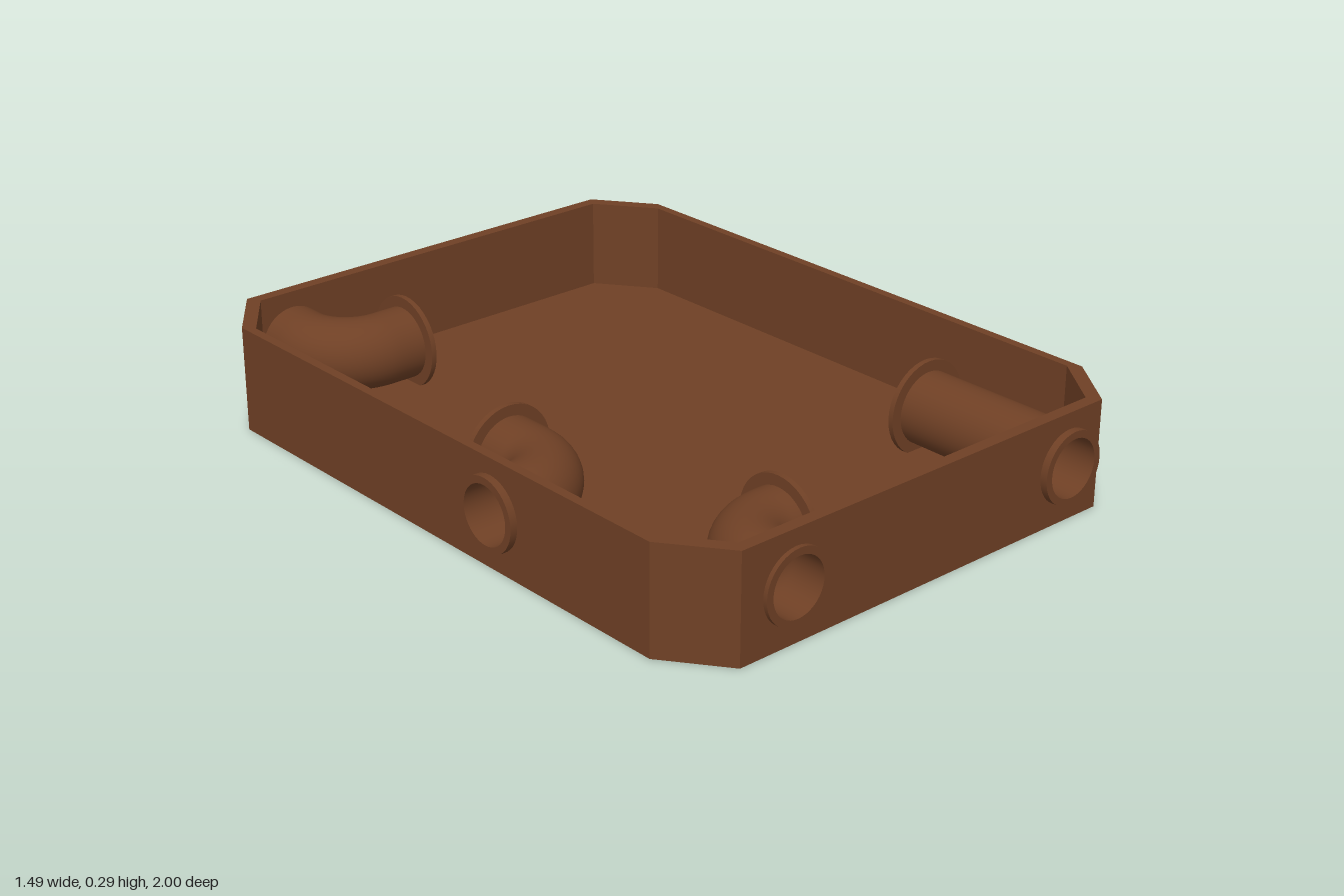
import * as THREE from 'three';
import { toCreasedNormals } from 'three/addons/utils/BufferGeometryUtils.js';

const brown = new THREE.MeshStandardMaterial({ color: 0x6f4025, side: THREE.DoubleSide });
brown.name = 'brown';

const HEIGHT = 0.295, FLOOR = 0.04, INNER = 0.965, PIPE_Y = 0.15;
const R_OUT = 0.1, R_IN = 0.08, R_FLANGE = 0.13, BEND = 0.15;
const CX = 0.0075; // tray centre in x
const V = (x, z) => new THREE.Vector3(x, PIPE_Y, z);

function part(name, geometry) {
  const mesh = new THREE.Mesh(geometry, brown);
  mesh.name = name;
  return mesh;
}

// Chamfered rectangle in (x, z), shrunk about the tray centre
function outline(s) {
  return [[-0.61, 0.98], [0.61, 0.98], [0.7325, 0.815], [0.7325, -0.815],
    [0.61, -0.98], [-0.61, -0.98], [-0.7325, -0.815], [-0.7325, 0.815]]
    .map(([x, z]) => new THREE.Vector2(x * s + CX, z * s));
}

// One mitred wall panel from a to b, pierced where pipes pass through
function wall(a, b, a2, b2, holes) {
  const length = a.distanceTo(b);
  const dir = b.clone().sub(a).normalize();
  const inward = new THREE.Vector2(dir.y, -dir.x);
  const thick = a2.clone().sub(a).dot(inward);
  const shape = new THREE.Shape([[0, 0], [length, 0], [length, HEIGHT], [0, HEIGHT]]
    .map(p => new THREE.Vector2(...p)));
  for (const h of holes) {
    shape.holes.push(new THREE.Path().absarc(h.clone().sub(a).dot(dir), PIPE_Y, R_OUT - 0.005, 0, Math.PI * 2, true));
  }
  const g = new THREE.ExtrudeGeometry(shape, { depth: thick, bevelEnabled: false, curveSegments: 16 });
  const p = g.attributes.position;
  for (let i = 0; i < p.count; i++) {
    const s = p.getX(i), inner = p.getZ(i) > thick / 2;
    let q = a.clone().addScaledVector(dir, s);
    if (inner) {
      if (s < 1e-4) q = a2;
      else if (s > length - 1e-4) q = b2;
      else q.addScaledVector(inward, thick);
    }
    p.setXYZ(i, q.x, p.getY(i), q.y);
  }
  g.computeVertexNormals();
  return part('wall', g);
}

// Flat annulus with its axis along +z
function annulus(outer, inner, depth) {
  const s = new THREE.Shape().absarc(0, 0, outer, 0, Math.PI * 2);
  s.holes.push(new THREE.Path().absarc(0, 0, inner, 0, Math.PI * 2, true));
  return toCreasedNormals(new THREE.ExtrudeGeometry(s, { depth, bevelEnabled: false, curveSegments: 20 }), 0.6);
}

// Hollow pipe from the outside end to the flanged end, with an optional elbow
function pipe(name, start, end, corner) {
  const group = new THREE.Group();
  group.name = name;
  const path = new THREE.CurvePath();
  let dirIn, dirOut;
  if (corner) {
    dirIn = corner.clone().sub(start).normalize();
    dirOut = end.clone().sub(corner).normalize();
    const p = corner.clone().addScaledVector(dirIn, -BEND);
    const q = corner.clone().addScaledVector(dirOut, BEND);
    path.add(new THREE.LineCurve3(start, p));
    path.add(new THREE.CubicBezierCurve3(p, p.clone().addScaledVector(dirIn, BEND * 0.5523),
      q.clone().addScaledVector(dirOut, -BEND * 0.5523), q));
    path.add(new THREE.LineCurve3(q, end));
  } else {
    dirIn = dirOut = end.clone().sub(start).normalize();
    path.add(new THREE.LineCurve3(start, end));
  }
  const steps = corner ? 24 : 1;
  group.add(part('pipeOutside', new THREE.TubeGeometry(path, steps, R_OUT, 40)));
  // The bore faces inward, so its triangles are reversed
  const bore = new THREE.TubeGeometry(path, steps, R_IN, 40);
  bore.index.array.reverse();
  const n = bore.attributes.normal;
  for (let i = 0; i < n.count; i++) n.setXYZ(i, -n.getX(i), -n.getY(i), -n.getZ(i));
  group.add(part('pipeBore', bore));

  const zAxis = new THREE.Vector3(0, 0, 1);
  const rim = part('rim', new THREE.RingGeometry(R_IN, R_OUT, 40));
  rim.quaternion.setFromUnitVectors(zAxis, dirIn.clone().negate());
  rim.position.copy(start);
  const flange = part('flange', annulus(R_FLANGE, R_IN, 0.015));
  flange.quaternion.setFromUnitVectors(zAxis, dirOut);
  flange.position.copy(end).addScaledVector(dirOut, -0.015);
  group.add(rim, flange);
  return group;
}

export function createModel() {
  const model = new THREE.Group();
  model.name = 'pipeTray';

  // Floor slab
  const floor = new THREE.ExtrudeGeometry(
    new THREE.Shape(outline(INNER).map(p => new THREE.Vector2(p.x, -p.y))),
    { depth: FLOOR, bevelEnabled: false });
  floor.rotateX(-Math.PI / 2);
  model.add(part('floor', floor));

  // Eight walls, keyed by index for their pipe openings
  const holes = {
    0: [new THREE.Vector2(-0.435, 0.98), new THREE.Vector2(0.5, 0.98)],
    4: [new THREE.Vector2(-0.482, -0.98)],
    6: [new THREE.Vector2(-0.725, 0.245)],
  };
  const out = outline(1), inn = outline(INNER);
  for (let i = 0; i < 8; i++) {
    const j = (i + 1) % 8;
    model.add(wall(out[i], out[j], inn[i], inn[j], holes[i] || []));
  }

  // Pipes
  model.add(pipe('backElbow', V(-0.482, -1), V(-0.245, -0.74), V(-0.482, -0.74)));
  model.add(pipe('sideElbow', V(-0.745, 0.245), V(-0.487, 0), V(-0.487, 0.245)));
  model.add(pipe('frontElbow', V(-0.435, 0.992), V(-0.245, 0.74), V(-0.435, 0.74)));
  model.add(pipe('straightPipe', V(0.5, 1), V(0.5, 0.497)));

  // Underside sheet closing the seam between floor and walls
  const base = new THREE.ShapeGeometry(new THREE.Shape(outline(1)));
  base.rotateX(Math.PI / 2);
  model.add(part('underside', base));
  return model;
}
